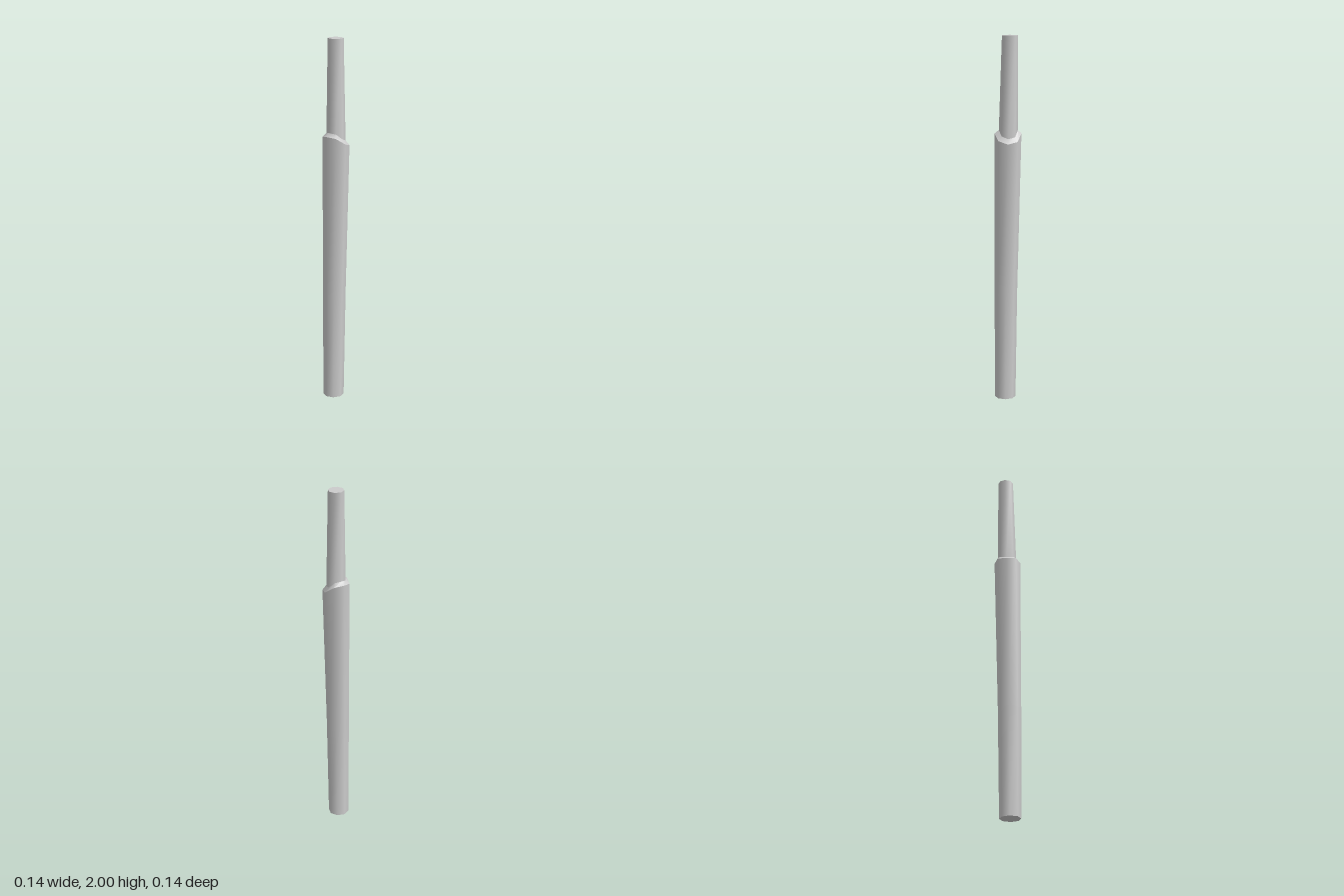
import * as THREE from 'three';
import { toCreasedNormals } from 'three/addons/utils/BufferGeometryUtils.js';

const SIDES = 8;
const TWIST = THREE.MathUtils.degToRad(5);

// Height of each corner of the slanted rim, starting at +x and turning towards +z
const RIM = [1.43, 1.445, 1.48, 1.485, 1.475, 1.487, 1.48, 1.44];
const COLLAR = RIM.map((y) => y + 0.017 + (1.487 - y) * 0.15);

// Octagonal ring around (x, z); y is one height or a height per corner
function ring(x, z, radius, y) {
  return Array.from({ length: SIDES }, (_, i) => {
    const a = TWIST + (i / SIDES) * Math.PI * 2;
    return new THREE.Vector3(
      x + Math.cos(a) * radius,
      Array.isArray(y) ? y[i] : y,
      z + Math.sin(a) * radius
    );
  });
}

// Skin between successive rings, with optional flat end caps
function loft(name, rings, { bottom = false, top = false } = {}) {
  const points = [];
  const index = [];
  rings.forEach((r) => r.forEach((p) => points.push(p)));
  for (let r = 0; r < rings.length - 1; r++) {
    for (let i = 0; i < SIDES; i++) {
      const j = (i + 1) % SIDES;
      const a = r * SIDES + i, b = r * SIDES + j;
      index.push(a, a + SIDES, b, b, a + SIDES, b + SIDES);
    }
  }
  const last = (rings.length - 1) * SIDES;
  for (let i = 1; i < SIDES - 1; i++) {
    if (bottom) index.push(0, i, i + 1);
    if (top) index.push(last, last + i + 1, last + i);
  }
  const geometry = new THREE.BufferGeometry().setFromPoints(points);
  geometry.setIndex(index);
  const mesh = new THREE.Mesh(
    toCreasedNormals(geometry, 0.9),
    new THREE.MeshStandardMaterial({ color: 0xcccccc })
  );
  mesh.name = name;
  return mesh;
}

export function createModel() {
  const group = new THREE.Group();
  group.name = 'pole';

  const rim = ring(0, -0.001, 0.072, RIM);
  const collar = ring(0, -0.003, 0.051, COLLAR);

  // Thick lower sleeve, widening and leaning slightly towards the rim
  group.add(loft('lowerSleeve', [
    ring(-0.015, 0.013, 0.057, 0),
    ring(-0.01, 0.01, 0.062, 0.6),
    rim,
  ], { bottom: true }));

  // Narrow sloping ledge between sleeve and rod
  group.add(loft('collar', [rim, collar]));

  // Tapered upper rod
  group.add(loft('upperRod', [collar, ring(-0.001, -0.011, 0.042, 2)], { top: true }));

  return group;
}
